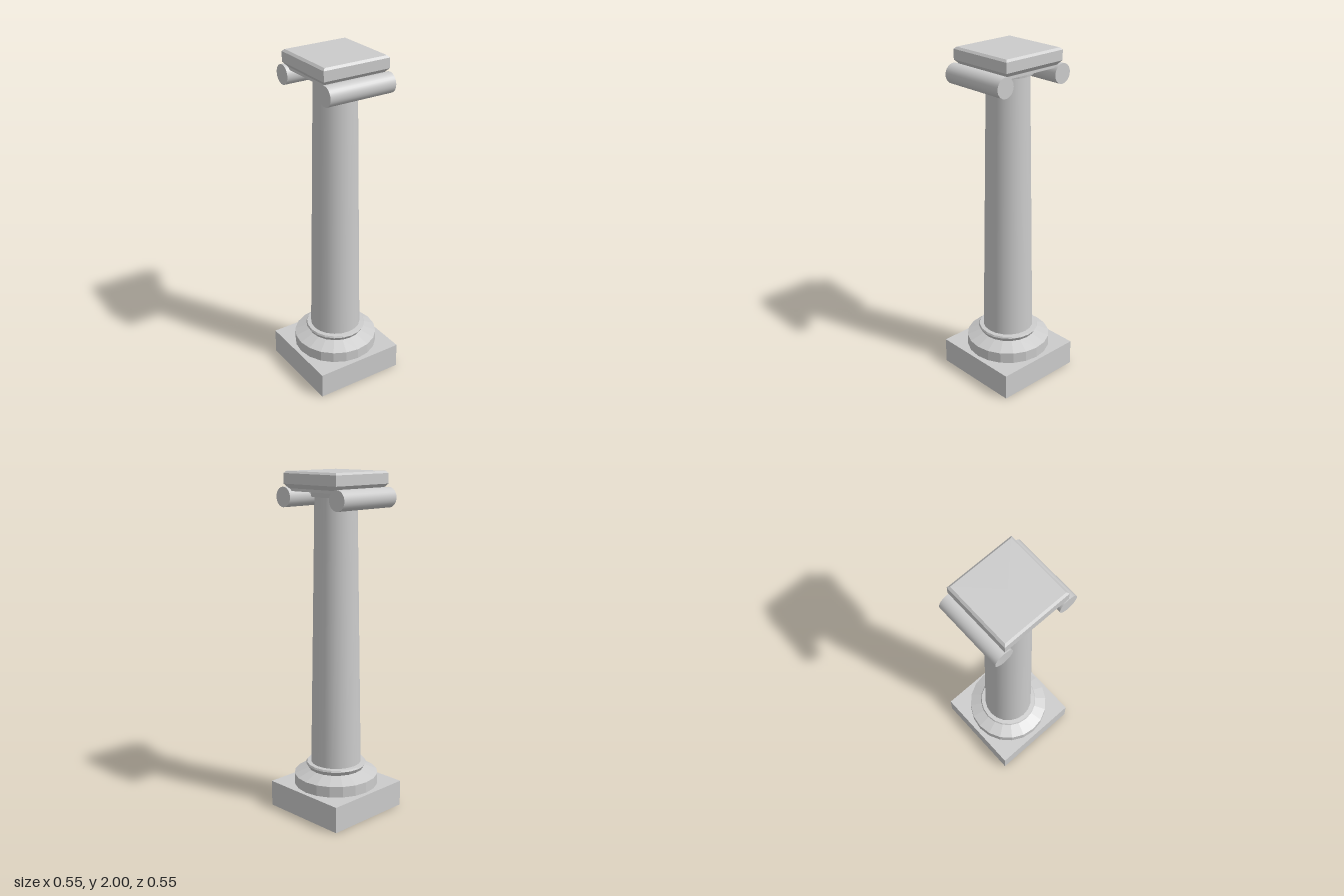
import * as THREE from 'three';

const SIDES = 20;

export function createModel() {
  const model = new THREE.Group();
  const smooth = new THREE.MeshStandardMaterial({ color: 0xcccccc });
  const faceted = new THREE.MeshStandardMaterial({ color: 0xcccccc, flatShading: true });

  const add = (name, geometry, material, x = 0, y = 0, z = 0) => {
    const mesh = new THREE.Mesh(geometry, material);
    mesh.name = name;
    mesh.position.set(x, y, z);
    model.add(mesh);
    return mesh;
  };
  const lathe = (profile) =>
    new THREE.LatheGeometry(profile.map(([r, y]) => new THREE.Vector2(r, y)), SIDES);

  // Square plinth
  add('plinth', new THREE.BoxGeometry(0.55, 0.155, 0.55), faceted, 0, 0.0775, 0);

  // Faceted base drum with sloped shoulder and flared ring
  add('baseMoulding', lathe([
    [0, 0.155], [0.25, 0.155], [0.25, 0.22], [0.165, 0.255],
    [0.18, 0.28], [0.175, 0.29], [0.145, 0.292], [0, 0.292],
  ]), faceted);

  // Tapered shaft
  add('shaft', new THREE.CylinderGeometry(0.122, 0.15, 1.575, SIDES), smooth, 0, 1.0775, 0);

  // Round collar under the capital
  add('collar', new THREE.CylinderGeometry(0.145, 0.14, 0.032, SIDES), faceted, 0, 1.876, 0);

  // Square abacus: four-sided bevelled profile
  const s = Math.SQRT2;
  const abacus = new THREE.LatheGeometry([
    [0, 1.89], [0.185, 1.89], [0.185, 1.905], [0.207, 1.93],
    [0.207, 1.988], [0.195, 2], [0, 2],
  ].map(([half, y]) => new THREE.Vector2(half * s, y)), 4);
  abacus.rotateY(Math.PI / 4);
  add('abacus', abacus, faceted);

  // Scroll rolls along the front and back
  for (const [name, side] of [['frontScroll', 1], ['backScroll', -1]]) {
    const roll = add(name, new THREE.CylinderGeometry(0.057, 0.057, 0.413, 32), smooth, 0, 1.856, side * 0.211);
    roll.rotation.z = Math.PI / 2;
  }

  return model;
}
